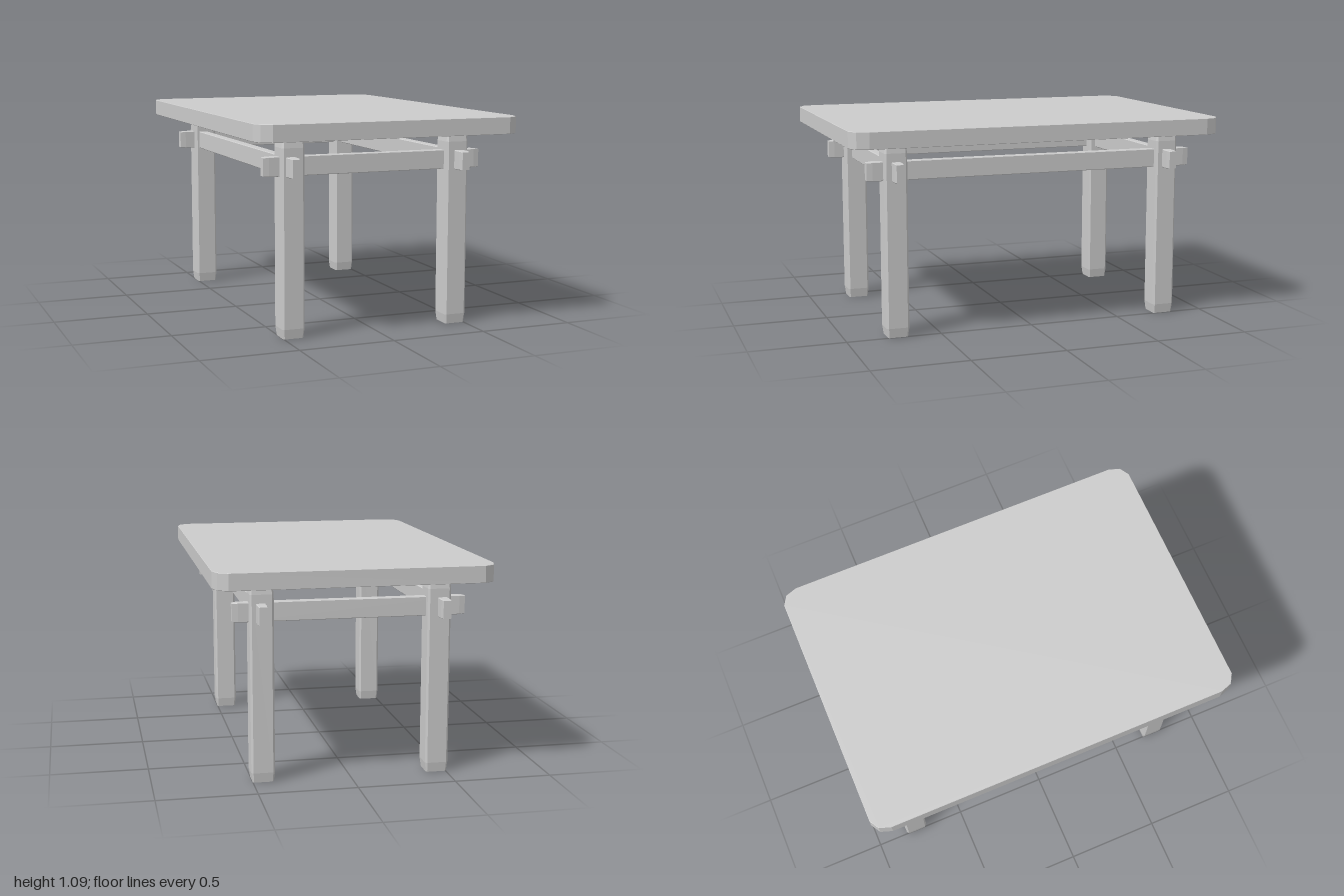
import * as THREE from 'three';

const grey = new THREE.MeshStandardMaterial({ color: 0xcccccc });
grey.name = 'plain grey';

// Beam along z, centred, with chamfered long edges and tapered ends
function beam(w, h, length, chamfer, taper, taperLength) {
  const a = w / 2 - taper, b = h / 2 - taper, c = chamfer;
  const pts = [
    [a, -b + c], [a, b - c], [a - c, b], [-a + c, b],
    [-a, b - c], [-a, -b + c], [-a + c, -b], [a - c, -b],
  ].map(([x, y]) => new THREE.Vector2(x, y));
  return new THREE.ExtrudeGeometry(new THREE.Shape(pts), {
    depth: length - 2 * taperLength, bevelEnabled: true, bevelSegments: 1,
    bevelSize: taper, bevelThickness: taperLength,
  }).translate(0, 0, -length / 2 + taperLength);
}

export function createModel() {
  const group = new THREE.Group();
  group.name = 'table';
  const add = (name, geometry, x, y, z) => {
    const mesh = new THREE.Mesh(geometry, grey);
    mesh.name = name;
    mesh.position.set(x, y, z);
    group.add(mesh);
  };

  // Tabletop with faceted corners
  const corner = [[0.70, 0.91], [0.68, 0.97], [0.63, 1.0]];
  const back = [...corner].reverse();
  const outline = [
    ...corner,
    ...back.map(([x, z]) => [-x, z]),
    ...corner.map(([x, z]) => [-x, -z]),
    ...back.map(([x, z]) => [x, -z]),
  ].map(([x, z]) => new THREE.Vector2(x, z));
  const top = new THREE.ExtrudeGeometry(new THREE.Shape(outline), {
    depth: 0.082, bevelEnabled: true, bevelSegments: 1,
    bevelSize: 0.002, bevelThickness: 0.002, bevelOffset: -0.002,
  }).rotateX(-Math.PI / 2);
  add('tabletop', top, 0, 1.006, 0);

  // Four legs
  const leg = beam(0.12, 0.12, 1.004, 0.006, 0.007, 0.05).rotateX(-Math.PI / 2);
  for (const [side, x] of [['Left', 0.448], ['Right', -0.45]])
    for (const [end, z] of [['front', 0.73], ['back', -0.773]])
      add(`${end}${side}Leg`, leg, x, 0.502, z);

  // Rails running through the legs, with protruding ends
  const longRail = beam(0.048, 0.098, 1.791, 0.001, 0.004, 0.03);
  add('leftLongRail', longRail, 0.453, 0.861, -0.0215);
  add('rightLongRail', longRail, -0.465, 0.861, -0.0215);
  const crossRail = beam(0.046, 0.098, 1.184, 0.001, 0.004, 0.03).rotateY(Math.PI / 2);
  add('frontCrossRail', crossRail, -0.002, 0.861, 0.73);
  add('backCrossRail', crossRail, -0.002, 0.861, -0.77);

  return group;
}
